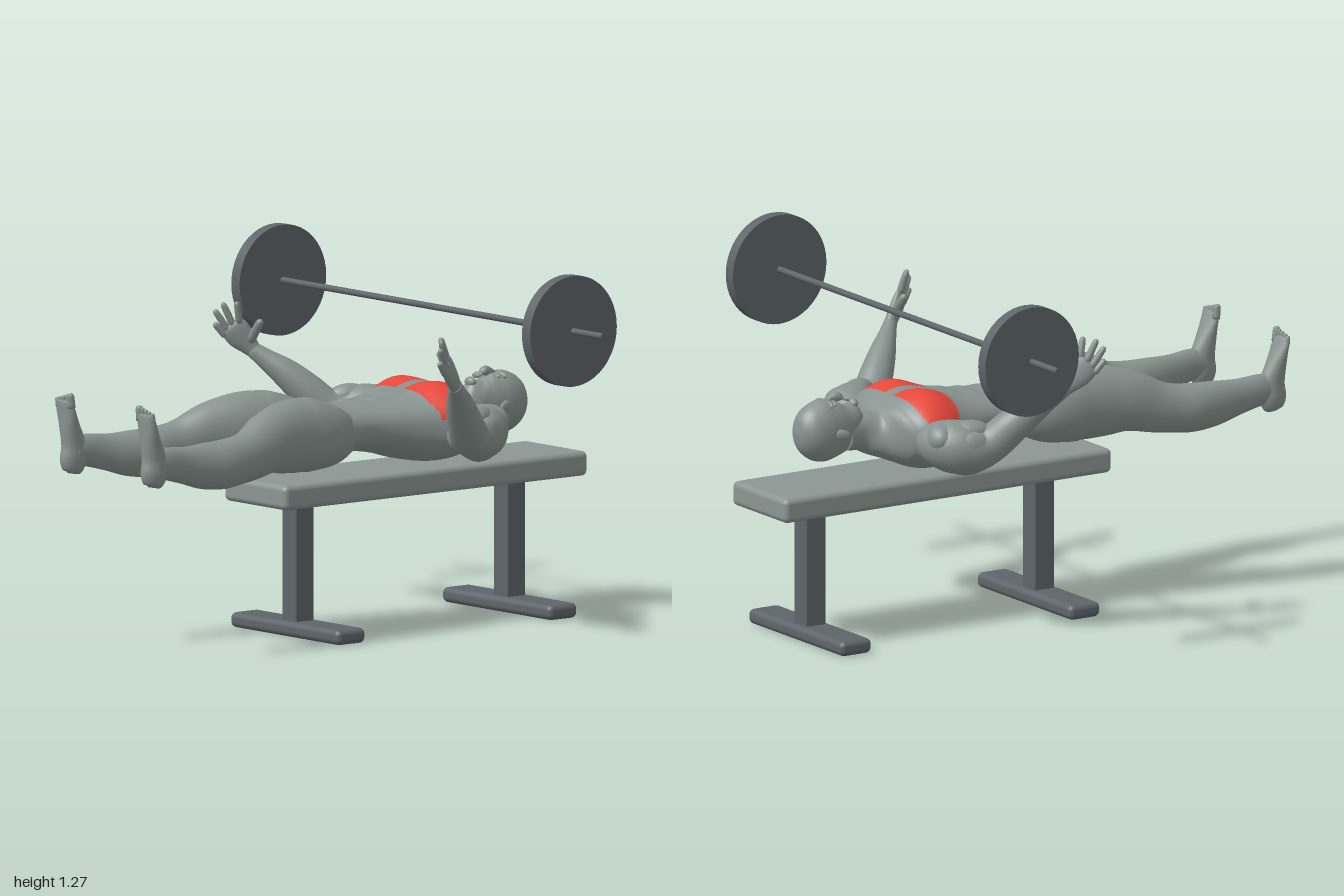
import * as THREE from 'three';
import { RoundedBoxGeometry } from 'three/addons/geometries/RoundedBoxGeometry.js';

const material = (name, color) => {
  const m = new THREE.MeshStandardMaterial({ color });
  m.name = name;
  return m;
};
const skin = material('greyBody', 0x88938f);
const pad = material('benchPad', 0x8b9692);
const steel = material('darkSteel', 0x5e656a);
const red = material('redMuscle', 0xe8483a);

// Smooth closed skin through sections [x, y, z, radiusU, radiusV].
// hint: direction of radiusU; power: squareness; shape(p): moves a vertex; paint(p): true for the second colour.
function loft(name, sections, opt = {}) {
  const { side = 1, hint = [1, 0, 0], rings = 24, segs = 24, power = 2, shape, paint } = opt;
  const path = new THREE.CatmullRomCurve3(
    sections.map(s => new THREE.Vector3(s[0] * side, s[1], s[2])), false, 'catmullrom');
  const size = new THREE.CatmullRomCurve3(
    sections.map(s => new THREE.Vector3(s[3], s[4], 0)), false, 'catmullrom');
  const h = new THREE.Vector3(hint[0] * side, hint[1], hint[2]);
  const pos = [], plain = [], painted = [];
  const round = v => Math.sign(v) * Math.pow(Math.abs(v), 2 / power);
  for (let i = 0; i <= rings; i++) {
    const c = path.getPoint(i / rings), r = size.getPoint(i / rings), t = path.getTangent(i / rings);
    const u = h.clone().addScaledVector(t, -h.dot(t)).normalize();
    const v = t.clone().cross(u);
    for (let j = 0; j < segs; j++) {
      const a = j / segs * Math.PI * 2;
      const p = c.clone().addScaledVector(u, round(Math.cos(a)) * r.x).addScaledVector(v, round(Math.sin(a)) * r.y);
      if (shape) shape(p);
      pos.push(p.x, p.y, p.z);
    }
  }
  const point = k => new THREE.Vector3().fromArray(pos, k * 3);
  const quadTo = (a, b, c, d) => {
    const mid = point(a).add(point(c)).multiplyScalar(0.5);
    (paint && paint(mid) ? painted : plain).push(a, b, c, a, c, d);
  };
  for (let i = 0; i < rings; i++) for (let j = 0; j < segs; j++) {
    const k = (j + 1) % segs, a = i * segs, b = a + segs;
    quadTo(a + j, a + k, b + k, b + j);
  }
  // end caps
  const first = (rings + 1) * segs, last = rings * segs;
  pos.push(...path.getPoint(0).toArray(), ...path.getPoint(1).toArray());
  for (let j = 0; j < segs; j++) {
    const k = (j + 1) % segs;
    plain.push(first, k, j, first + 1, last + j, last + k);
  }
  const g = new THREE.BufferGeometry();
  g.setAttribute('position', new THREE.Float32BufferAttribute(pos, 3));
  g.setIndex([...plain, ...painted]);
  g.addGroup(0, plain.length, 0);
  if (painted.length) g.addGroup(plain.length, painted.length, 1);
  g.computeVertexNormals();
  const m = new THREE.Mesh(g, painted.length ? [skin, red] : skin);
  m.name = name;
  return m;
}

function blob(name, [x, y, z], [rx, ry, rz], rot = [0, 0, 0]) {
  const m = new THREE.Mesh(new THREE.SphereGeometry(1, 20, 14), skin);
  m.name = name;
  m.position.set(x, y, z);
  m.scale.set(rx, ry, rz);
  m.rotation.set(...rot);
  return m;
}

// Thin digit with a rounded tip
function digit(name, a, b, r, side) {
  const at = f => a.map((v, i) => v + (b[i] - v) * f);
  const secs = [[0, 1], [0.5, 0.95], [0.85, 0.85], [0.96, 0.55], [1, 0.1]].map(([f, k]) => [...at(f), r * k, r * k]);
  return loft(name, secs, { side, hint: [0.9, 0.1, -0.4], rings: 10, segs: 10 });
}

function box(name, mat, [w, h, d], [x, y, z], r) {
  const m = new THREE.Mesh(new RoundedBoxGeometry(w, h, d, 3, r), mat);
  m.name = name;
  m.position.set(x, y, z);
  return m;
}

function bench() {
  const g = new THREE.Group();
  g.name = 'bench';
  g.add(box('benchPad', pad, [0.335, 0.085, 1.33], [0, 0.502, -0.335], 0.02));
  for (const z of [0.138, -0.79]) {
    g.add(box('benchPost', steel, [0.076, 0.43, 0.08], [0, 0.255, z], 0.006));
    g.add(box('benchFoot', steel, [0.585, 0.052, 0.125], [0, 0.026, z], 0.02));
  }
  return g;
}

function barbell() {
  const g = new THREE.Group();
  g.name = 'barbell';
  const rod = (name, r, len, x) => {
    const m = new THREE.Mesh(new THREE.CylinderGeometry(r, r, len, 48), steel);
    m.name = name;
    m.rotation.z = Math.PI / 2;
    m.position.set(x, 1.08, -0.415);
    g.add(m);
  };
  rod('bar', 0.011, 1.92, 0);
  for (const s of [1, -1]) rod('weightPlate', 0.19, 0.044, 0.778 * s);
  return g;
}

// Chest and stomach relief
const hill = (x, z, cx, cz, sx, sz) => Math.exp(-(((x - cx) / sx) ** 2) - ((z - cz) / sz) ** 2);
function relief(p) {
  if (p.y < 0.7) return;
  const x = Math.abs(p.x), k = Math.min(1, (p.y - 0.7) / 0.05);
  let d = 0.02 * hill(x, p.z, 0.115, -0.385, 0.085, 0.08);
  for (const z of [-0.24, -0.165, -0.09]) d += 0.008 * hill(x, p.z, 0.038, z, 0.026, 0.03);
  d -= 0.008 * hill(x, p.z, 0, -0.38, 0.014, 0.1);
  d -= 0.008 * hill(x, p.z, 0, 0.03, 0.012, 0.012);
  p.y += d * k;
}
function onChest(p) {
  const x = Math.abs(p.x);
  const corner = Math.max(0, x - 0.16) * 0.4;
  return p.y > 0.72 && x > 0.024 && x < 0.23 && p.z > -0.47 + corner * 0.5 && p.z < -0.3 - corner;
}

function torso() {
  return loft('torso', [
    [0, 0.7, -0.66, 0.06, 0.06], [0, 0.697, -0.59, 0.062, 0.066], [0, 0.685, -0.54, 0.1, 0.077],
    [0, 0.685, -0.495, 0.2, 0.1], [0, 0.69, -0.44, 0.245, 0.125], [0, 0.685, -0.37, 0.24, 0.13],
    [0, 0.685, -0.29, 0.205, 0.118], [0, 0.69, -0.2, 0.175, 0.098], [0, 0.695, -0.1, 0.157, 0.084],
    [0, 0.698, 0, 0.166, 0.082], [0, 0.693, 0.08, 0.185, 0.095], [0, 0.69, 0.14, 0.16, 0.085],
    [0, 0.69, 0.18, 0.07, 0.05],
  ], { rings: 110, segs: 96, power: 2.4, shape: relief, paint: onChest });
}

function head() {
  const g = new THREE.Group();
  g.name = 'head';
  g.add(loft('skull', [
    [0, 0.782, -0.6, 0.014, 0.014], [0, 0.775, -0.608, 0.032, 0.038], [0, 0.752, -0.63, 0.052, 0.068],
    [0, 0.735, -0.66, 0.062, 0.09], [0, 0.725, -0.7, 0.072, 0.1], [0, 0.72, -0.75, 0.078, 0.108],
    [0, 0.72, -0.8, 0.07, 0.09], [0, 0.72, -0.833, 0.043, 0.056], [0, 0.72, -0.845, 0.008, 0.01],
  ], { rings: 40, segs: 36 }));
  g.add(loft('nose', [
    [0, 0.822, -0.722, 0.008, 0.006], [0, 0.826, -0.705, 0.01, 0.012], [0, 0.83, -0.685, 0.015, 0.018],
    [0, 0.826, -0.672, 0.016, 0.014], [0, 0.818, -0.666, 0.008, 0.005],
  ], { rings: 14, segs: 14 }));
  g.add(blob('upperLip', [0, 0.821, -0.652, ], [0.022, 0.009, 0.006]));
  g.add(blob('lowerLip', [0, 0.818, -0.642], [0.019, 0.009, 0.006]));
  g.add(blob('chin', [0, 0.798, -0.618], [0.025, 0.018, 0.016]));
  for (const s of [1, -1]) {
    g.add(blob('eye', [0.031 * s, 0.811, -0.712], [0.013, 0.008, 0.007]));
    g.add(blob('brow', [0.032 * s, 0.815, -0.73], [0.024, 0.01, 0.008], [0, 0.15 * s, -0.25 * s]));
    g.add(blob('ear', [0.077 * s, 0.715, -0.71], [0.01, 0.018, 0.03], [0.2, 0.3 * s, 0]));
  }
  return g;
}

function leg(side) {
  const g = new THREE.Group();
  g.name = side > 0 ? 'leftLeg' : 'rightLeg';
  // slight step at the hem of the shorts
  const hem = p => { p.y += 0.004 * Math.sign(p.y - 0.7) * Math.min(1, Math.abs(p.y - 0.7) / 0.05) / (1 + Math.exp((p.z - 0.21) * 300)); };
  g.add(loft('thighAndCalf', [
    [0.09, 0.69, 0, 0.06, 0.065], [0.1, 0.692, 0.08, 0.094, 0.1], [0.108, 0.7, 0.16, 0.104, 0.118],
    [0.116, 0.707, 0.24, 0.1, 0.127], [0.132, 0.707, 0.32, 0.092, 0.122], [0.155, 0.7, 0.4, 0.082, 0.106],
    [0.177, 0.672, 0.49, 0.069, 0.09], [0.186, 0.66, 0.55, 0.067, 0.084], [0.19, 0.651, 0.63, 0.075, 0.084],
    [0.196, 0.655, 0.72, 0.06, 0.078], [0.205, 0.667, 0.81, 0.042, 0.063], [0.212, 0.68, 0.89, 0.036, 0.056],
    [0.213, 0.68, 0.95, 0.034, 0.052],
  ], { side, rings: 70, segs: 36, shape: hem }));
  g.add(loft('foot', [
    [0.216, 0.604, 0.95, 0.012, 0.018], [0.216, 0.615, 0.948, 0.028, 0.038], [0.216, 0.65, 0.946, 0.037, 0.05],
    [0.215, 0.7, 0.945, 0.036, 0.046], [0.216, 0.76, 0.96, 0.039, 0.034], [0.217, 0.815, 0.974, 0.045, 0.021],
    [0.218, 0.85, 0.983, 0.045, 0.013], [0.218, 0.86, 0.985, 0.036, 0.008],
  ], { side, rings: 32, segs: 24 }));
  for (let i = 0; i < 5; i++) {
    const x = 0.184 + i * 0.0175;
    g.add(digit('toe', [x, 0.835, 0.98], [x, 0.886 - 0.005 * i, 0.985], i ? 0.009 : 0.014, side));
  }
  return g;
}

function arm(side) {
  const g = new THREE.Group();
  g.name = side > 0 ? 'leftArm' : 'rightArm';
  g.add(loft('upperArmAndForearm', [
    [0.21, 0.69, -0.47, 0.045, 0.045], [0.265, 0.69, -0.45, 0.078, 0.078], [0.315, 0.683, -0.41, 0.092, 0.09],
    [0.35, 0.675, -0.355, 0.082, 0.082], [0.378, 0.695, -0.3, 0.066, 0.066], [0.42, 0.755, -0.245, 0.06, 0.058],
    [0.465, 0.815, -0.19, 0.05, 0.046], [0.51, 0.863, -0.14, 0.035, 0.031], [0.543, 0.897, -0.105, 0.027, 0.022],
  ], { side, hint: [-0.55, 0.75, -0.6], rings: 48, segs: 28 }));
  // muscle masses
  const lumps = [
    ['deltoid', [0.3, 0.715, -0.455], [0.07, 0.055, 0.055], 0.5],
    ['biceps', [0.345, 0.735, -0.37], [0.045, 0.042, 0.075], 0.4],
    ['triceps', [0.34, 0.635, -0.38], [0.055, 0.05, 0.08], 0.4],
    ['outerArm', [0.385, 0.69, -0.385], [0.036, 0.055, 0.07], 0.3],
    ['innerArm', [0.27, 0.67, -0.36], [0.045, 0.06, 0.06], 0.2],
  ];
  for (const [n, [x, y, z], r, turn] of lumps) g.add(blob(n, [x * side, y, z], r, [0, turn * side, 0]));
  // hand with spread fingers
  g.add(loft('palm', [
    [0.536, 0.888, -0.112, 0.026, 0.021], [0.548, 0.91, -0.095, 0.034, 0.021], [0.56, 0.94, -0.07, 0.046, 0.02],
    [0.57, 0.97, -0.048, 0.046, 0.017], [0.576, 0.985, -0.038, 0.034, 0.01],
  ], { side, hint: [-0.055, 0.075, -0.06], rings: 18, segs: 20 }));
  const fingers = [
    [[0.59, 0.945, -0.025], [0.603, 0.99, 0.012]], [[0.583, 0.963, -0.033], [0.604, 1.035, 0.01]],
    [[0.571, 0.98, -0.045], [0.585, 1.06, -0.01]], [[0.555, 0.99, -0.06], [0.545, 1.065, -0.04]],
  ];
  for (const [a, b] of fingers) g.add(digit('finger', a, b, 0.0125, side));
  g.add(digit('thumb', [0.54, 0.925, -0.095], [0.475, 1.005, -0.09], 0.016, side));
  return g;
}

export function createModel() {
  const model = new THREE.Group();
  model.name = 'benchPressFigure';
  const figure = new THREE.Group();
  figure.name = 'lyingFigure';
  figure.add(torso(), head());
  for (const s of [1, -1]) figure.add(leg(s), arm(s));
  model.add(bench(), barbell(), figure);
  return model;
}
